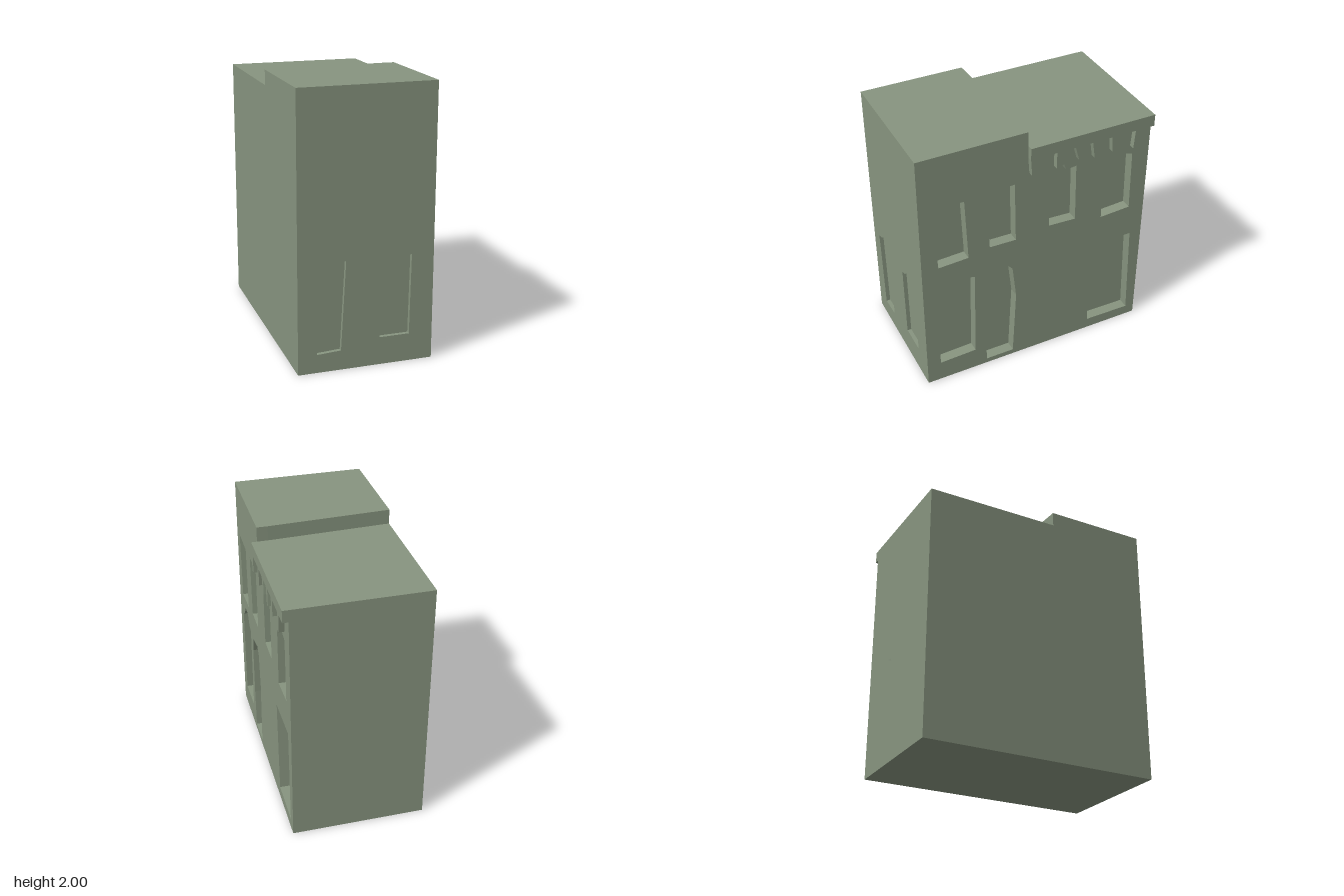
import * as THREE from 'three';

const X0 = -0.516, X1 = 0.474, XC = 0.516, Z = 0.896, LOW = 1.89, HIGH = 2;
const RIGHT_DEPTH = 0.08, END_DEPTH = 0.03;

const shapeOf = (pts) => new THREE.Shape(pts.map(([x, y]) => new THREE.Vector2(x, y)));
const flipX = (pts) => pts.map(([x, y]) => [-x, y]);

export function createModel() {
  const group = new THREE.Group();
  const stone = new THREE.MeshStandardMaterial({ color: 0x87947f });
  stone.name = 'sage stone';

  const add = (name, geometry) => {
    const mesh = new THREE.Mesh(geometry, stone);
    mesh.name = name;
    group.add(mesh);
  };

  // Upright slab with openings, turned so that its outer face lies at the given distance
  const addWall = (name, outline, openings, depth, distance, turn) => {
    const shape = shapeOf(outline);
    shape.holes = openings.map(shapeOf);
    const geometry = new THREE.ExtrudeGeometry(shape, { depth, bevelEnabled: false });
    geometry.translate(0, 0, distance - depth);
    geometry.rotateY(turn);
    add(name, geometry);
  };

  // Solid block from a plan given as [x, z]
  const addBlock = (name, plan, height) => {
    const shape = shapeOf(plan.map(([x, z]) => [x, -z]));
    const geometry = new THREE.ExtrudeGeometry(shape, { depth: height, bevelEnabled: false });
    geometry.rotateX(-Math.PI / 2);
    add(name, geometry);
  };

  // Core: tall front block and lower rear block meeting at a slightly slanted step
  const xIn = X1 - RIGHT_DEPTH, zIn = Z - END_DEPTH, stepL = 0.12, stepR = 0.08;
  addBlock('frontBlock', [[X0, stepL], [X0, zIn], [xIn, zIn], [xIn, stepR]], HIGH);
  addBlock('rearBlock', [[X0, -zIn], [X0, stepL], [xIn, stepR], [xIn, -zIn]], LOW);

  // Front wall with two shallow pointed niches
  addWall('frontWall', [[X0, 0], [X1, 0], [X1, HIGH], [X0, HIGH]], [
    [[-0.405, 0.79], [-0.35, 0.805], [-0.295, 0.85], [-0.225, 0.825], [-0.17, 0.795], [-0.205, 0.145], [-0.38, 0.135]],
    [[0.07, 0.79], [0.115, 0.8], [0.18, 0.86], [0.24, 0.805], [0.31, 0.795], [0.3, 0.205], [0.08, 0.205]],
  ], END_DEPTH, Z, 0);

  // Back wall with two shallow pointed niches
  addWall('backWall', flipX([[X0, 0], [X1, 0], [X1, LOW], [X0, LOW]]), [
    [[0.287, 0.785], [0.22, 0.79], [0.19, 0.87], [0.155, 0.81], [0.06, 0.79], [0.06, 0.25], [0.265, 0.25]],
    [[-0.147, 0.836], [-0.2, 0.82], [-0.25, 0.9], [-0.31, 0.815], [-0.375, 0.79], [-0.38, 0.175], [-0.165, 0.19]],
  ].map(flipX), END_DEPTH, Z, Math.PI);

  // Right wall, drawn as [z, y]: four upper windows and three tall ground openings
  addWall('rightWall', flipX([[zIn, 0], [-zIn, 0], [-zIn, LOW], [stepR, LOW], [stepR, HIGH], [zIn, HIGH]]), [
    [[0.8, 1.6], [0.56, 1.585], [0.54, 1.09], [0.77, 1.08]],
    [[0.4, 1.6], [0.18, 1.605], [0.17, 1.12], [0.375, 1.125]],
    [[-0.085, 1.575], [-0.145, 1.61], [-0.2, 1.66], [-0.22, 1.605], [-0.3, 1.615], [-0.31, 1.145], [-0.095, 1.155]],
    [[-0.53, 1.59], [-0.585, 1.605], [-0.65, 1.64], [-0.695, 1.6], [-0.76, 1.58], [-0.77, 1.1], [-0.53, 1.085]],
    [[0.79, 0.91], [0.75, 0.91], [0.685, 0.995], [0.6, 0.995], [0.54, 0.91], [0.495, 0.895], [0.505, 0.175], [0.79, 0.165]],
    [[0.425, 0.76], [0.385, 0.885], [0.24, 0.91], [0.195, 0.86], [0.165, 0.59], [0.19, 0.04], [0.41, 0.04], [0.425, 0.36]],
    [[-0.435, 0.83], [-0.8, 0.84], [-0.825, 0.08], [-0.47, 0.085]],
  ].map(flipX), RIGHT_DEPTH, X1, Math.PI / 2);

  // Cornice with uneven hanging teeth: each tooth is [top z, tip z, tip z, top z, tip y]
  const teeth = [
    [0.08, 0.07, 0.035, 0.035, 1.67], [-0.12, -0.12, -0.155, -0.165, 1.67],
    [-0.265, -0.295, -0.32, -0.31, 1.69], [-0.4, -0.42, -0.45, -0.445, 1.67],
    [-0.555, -0.565, -0.595, -0.595, 1.675], [-0.745, -0.735, -0.77, -0.79, 1.655],
  ];
  const cornice = [[-Z, LOW], [stepR, LOW]];
  for (const [a, b, c, d, y] of teeth) cornice.push([a, 1.8], [b, y], [c, y], [d, 1.8]);
  cornice.push([-Z, 1.8]);
  addWall('cornice', flipX(cornice), [], XC - X1, XC, Math.PI / 2);

  return group;
}
